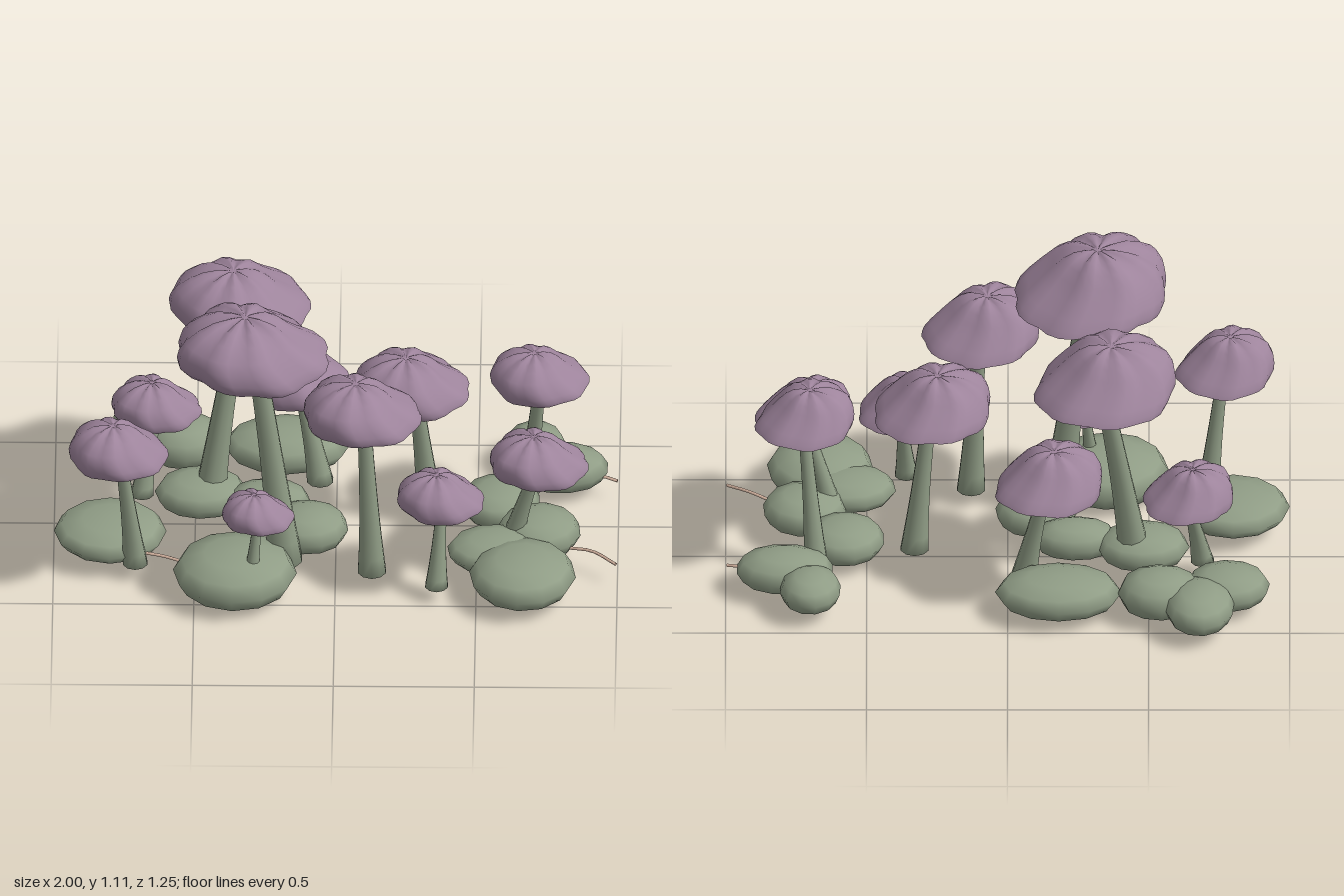
import * as THREE from 'three';
import { mergeVertices } from 'three/addons/utils/BufferGeometryUtils.js';

const mat = (name, color, side = THREE.FrontSide) => {
  const m = new THREE.MeshStandardMaterial({ color, side });
  m.name = name;
  return m;
};

// Move vertices by a rule, then close the seam and smooth the normals
function reshape(geo, rule) {
  const p = geo.attributes.position, v = new THREE.Vector3();
  for (let i = 0; i < p.count; i++) {
    v.fromBufferAttribute(p, i);
    rule(v);
    p.setXYZ(i, v.x, v.y, v.z);
  }
  geo.deleteAttribute('uv');
  geo.deleteAttribute('normal');
  const merged = mergeVertices(geo, 1e-5);
  merged.computeVertexNormals();
  return merged;
}

const LOBES = 8;
const LEAN = [-0.26, 0.24];

// Lobed surface of revolution of unit radius; the shoulders lean off centre
function lobed(profile, turn) {
  const geo = new THREE.LatheGeometry(profile.map(([r, y]) => new THREE.Vector2(r, y)), LOBES * 4);
  return reshape(geo, (v) => {
    const r = Math.hypot(v.x, v.z), a = Math.atan2(v.z, v.x) + turn;
    const ridge = Math.abs(Math.sin(a * LOBES / 2)); // 0 in a groove
    const k = 1.03 - 0.07 * (1 - ridge) + 0.015 * Math.sin(a * 3);
    const up = Math.max(v.y, 0);
    const shift = Math.min(1, up / 0.45) * (0.5 + 0.5 * r);
    v.x = v.x * k + LEAN[0] * shift;
    v.z = v.z * k + LEAN[1] * shift;
    if (up > 0.05) v.y -= 0.09 * (1 - ridge) * Math.min(1, r * 4) * (1.1 - r);
    v.y += 0.025 * r * r * Math.sin(a * 3 + 1); // uneven rim
  });
}

// Profiles run upward so that the surface faces outward
const CAP = [[1, 0], [1, 0.08], [0.95, 0.19], [0.85, 0.34], [0.72, 0.5], [0.55, 0.64], [0.38, 0.73], [0.2, 0.76], [0.07, 0.75], [0, 0.71]];
const GILLS = [[0, -0.17], [0.35, -0.16], [0.7, -0.09], [1, 0]];

// Tapered stem following a gentle bend from foot to cap
function stemGeometry(foot, top, rFoot, rTop) {
  const mid = foot.clone().lerp(top, 0.4);
  mid.x += (foot.x - top.x) * 0.08;
  mid.z += (foot.z - top.z) * 0.08;
  const curve = new THREE.QuadraticBezierCurve3(foot, mid, top);
  return reshape(new THREE.CylinderGeometry(1, 1, 1, 10, 8), (v) => {
    const t = THREE.MathUtils.clamp(v.y + 0.5, 0, 1);
    const r = rTop + (rFoot - rTop) * Math.pow(1 - t, 1.7);
    const c = curve.getPoint(t);
    v.set(c.x + v.x * r, c.y, c.z + v.z * r);
  });
}

// cap centre x, z, radius, underside y, top y, foot x, foot z
const MUSHROOMS = [
  [-0.285, 0.265, 0.262, 0.87, 1.11, -0.18, 0.29],
  [-0.335, -0.185, 0.24, 0.77, 0.995, -0.45, -0.08],
  [0.1, 0.34, 0.2, 0.67, 0.87, 0.13, 0.36],
  [0.275, 0.005, 0.2, 0.56, 0.75, 0.33, -0.03],
  [0.725, -0.055, 0.168, 0.56, 0.73, 0.68, -0.15],
  [0.725, 0.225, 0.168, 0.39, 0.565, 0.62, 0.19],
  [0.38, 0.37, 0.15, 0.335, 0.495, 0.36, 0.45],
  [-0.765, 0.355, 0.168, 0.51, 0.69, -0.71, 0.32],
  [-0.635, -0.2, 0.154, 0.33, 0.49, -0.69, -0.11],
  [-0.14, -0.25, 0.184, 0.41, 0.595, -0.06, -0.2],
  [-0.27, 0.44, 0.122, 0.315, 0.45, -0.3, 0.48],
];

// centre x, y, z and half sizes
const STONES = [
  [-0.8, 0.095, 0.18, 0.2, 0.06, 0.18], [-0.355, 0.09, 0.42, 0.22, 0.09, 0.2],
  [0.665, 0.095, 0.435, 0.19, 0.078, 0.19], [0.56, 0.1, 0.29, 0.165, 0.055, 0.13],
  [0.72, 0.095, 0.165, 0.15, 0.07, 0.14], [0.58, 0.09, -0.025, 0.145, 0.065, 0.14],
  [0.79, 0.095, -0.23, 0.175, 0.07, 0.12], [0.7, 0.095, -0.36, 0.11, 0.065, 0.125],
  [-0.68, 0.095, -0.47, 0.125, 0.07, 0.155], [-0.78, 0.09, -0.33, 0.15, 0.065, 0.13],
  [-0.54, 0.095, -0.38, 0.15, 0.08, 0.13], [-0.18, 0.09, -0.37, 0.225, 0.07, 0.15],
  [-0.48, 0.09, -0.07, 0.165, 0.065, 0.13], [-0.24, 0.09, -0.02, 0.15, 0.065, 0.1],
  [-0.1, 0.095, 0.15, 0.145, 0.07, 0.13],
];

const TWIGS = [
  [[0.83, 0.075, 0.24], [0.91, 0.09, 0.28], [0.995, 0.078, 0.345]],
  [[0.88, 0.075, -0.215], [0.94, 0.083, -0.195], [0.995, 0.077, -0.175]],
  [[-0.68, 0.085, 0.3], [-0.61, 0.085, 0.32], [-0.52, 0.078, 0.355]],
];

export function createModel() {
  const model = new THREE.Group();
  model.name = 'mushroomPatch';
  const purple = mat('cap purple', 0x9e849c);
  const green = mat('moss green', 0x909d86);
  const peach = mat('gill peach', 0xe6c3ae, THREE.DoubleSide);
  const up = new THREE.Vector3(0, 1, 0);

  const add = (parent, name, geo, material) => {
    const m = new THREE.Mesh(geo, material);
    m.name = name;
    parent.add(m);
    return m;
  };

  MUSHROOMS.forEach(([x, z, R, y0, y1, fx, fz], i) => {
    const g = new THREE.Group();
    g.name = 'mushroom' + (i + 1);
    model.add(g);
    // Profiles span -0.17 to 0.76 in height
    const sy = (y1 - y0) / 0.93, rim = y0 + 0.17 * sy, turn = i * 1.3;
    const cap = add(g, 'cap', lobed(CAP, turn), purple);
    const gills = add(g, 'gills', lobed(GILLS, turn), peach);
    for (const m of [cap, gills]) {
      m.position.set(x, rim, z);
      m.scale.set(R, sy, R);
    }
    const foot = new THREE.Vector3(fx, 0.055, fz), top = new THREE.Vector3(x, rim + 0.02, z);
    add(g, 'stem', stemGeometry(foot, top, 0.012 + 0.2 * R, 0.13 * R), green);
  });

  // Flattened mossy stones with full shoulders
  STONES.forEach(([x, y, z, rx, ry, rz], i) => {
    const geo = reshape(new THREE.SphereGeometry(1, 12, 6), (v) => {
      v.y = Math.sign(v.y) * Math.pow(Math.abs(v.y), 0.8);
      v.applyAxisAngle(up, i);
    });
    const s = add(model, 'stone' + (i + 1), geo, green);
    s.position.set(x, y, z);
    s.scale.set(rx, ry, rz);
  });

  // Bent twigs
  TWIGS.forEach((pts, i) => {
    const curve = new THREE.CatmullRomCurve3(pts.map((p) => new THREE.Vector3(...p)));
    add(model, 'twig' + (i + 1), new THREE.TubeGeometry(curve, 6, 0.006, 5), peach);
  });

  return model;
}
